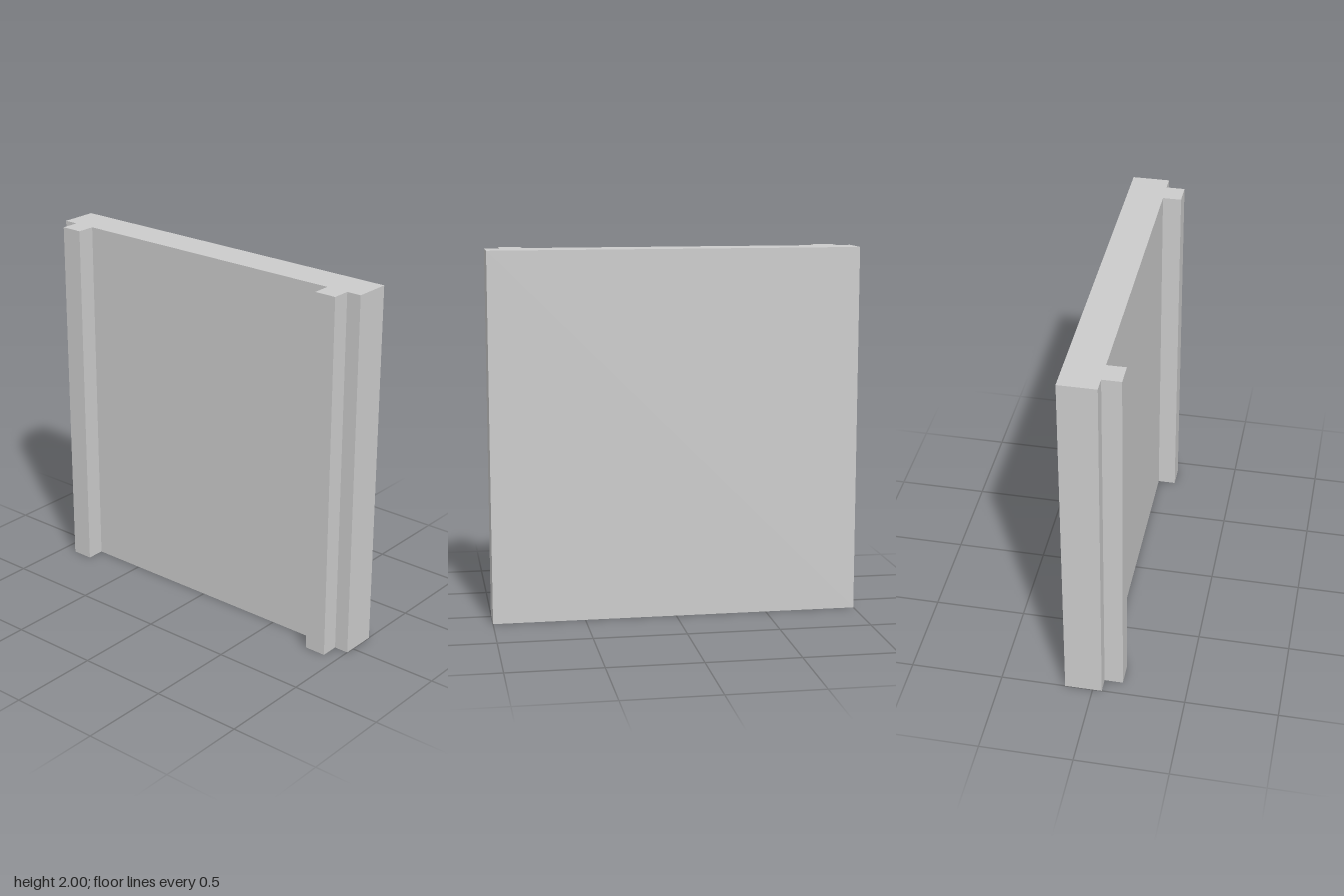
import * as THREE from 'three';

export function createModel() {
  const group = new THREE.Group();
  group.name = 'ribbedPanel';

  const height = 2, halfWidth = 1;
  const back = -0.15, face = 0.05, ribFront = 0.15;
  const ribInner = 0.8, ribOuter = 0.92;

  // Half of the plan outline (x, z), from the back corner round to the inner rib edge
  const half = [
    [halfWidth, back], [halfWidth, face],
    [ribOuter, face], [ribOuter, ribFront],
    [ribInner, ribFront], [ribInner, face],
  ];
  const mirrored = half.map(([x, z]) => [-x, z]).reverse();
  const outline = [...half, ...mirrored].map(([x, z]) => new THREE.Vector2(x, -z));

  // Slab and its two vertical ribs as one solid, extruded upwards
  const geometry = new THREE.ExtrudeGeometry(new THREE.Shape(outline), {
    depth: height, bevelEnabled: false,
  });
  geometry.rotateX(-Math.PI / 2);

  const panel = new THREE.Mesh(
    geometry,
    new THREE.MeshStandardMaterial({ color: 0xcccccc, flatShading: true }),
  );
  panel.name = 'panelWithRibs';
  group.add(panel);
  return group;
}
